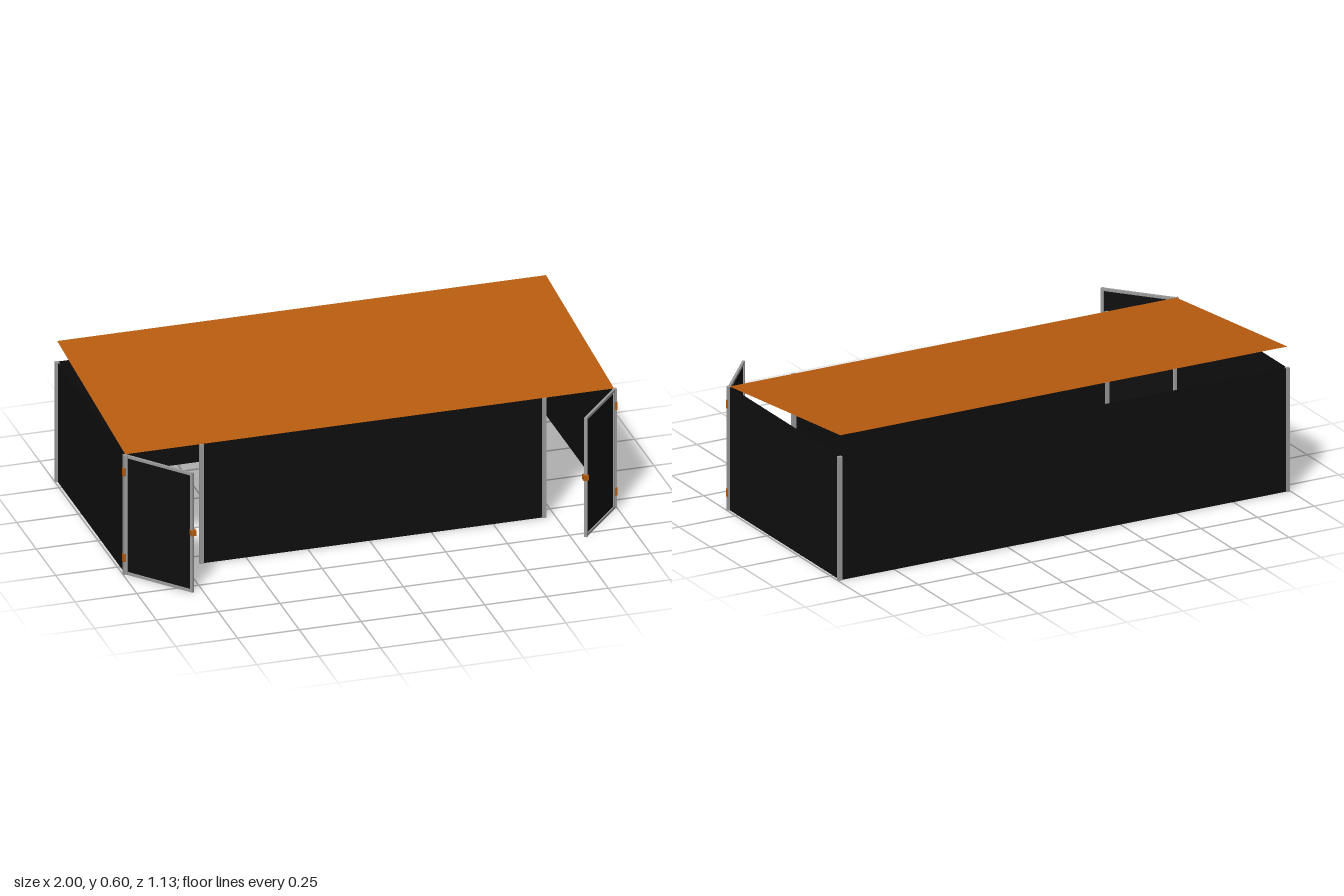
import * as THREE from 'three';

export function createModel() {
  const model = new THREE.Group();
  const mat = (name, color, side = THREE.FrontSide) => {
    const m = new THREE.MeshStandardMaterial({ color, side });
    m.name = name;
    return m;
  };
  const steel = mat('grey steel', 0x9c9c9c);
  const sheet = mat('black sheet', 0x0f0f0f, THREE.DoubleSide);
  const orange = mat('burnt orange', 0xb85c10, THREE.DoubleSide);

  const add = (parent, name, geometry, material, x, y, z) => {
    const mesh = new THREE.Mesh(geometry, material);
    mesh.name = name;
    mesh.position.set(x, y, z);
    parent.add(mesh);
    return mesh;
  };
  const box = (parent, name, material, w, h, d, x, y, z) =>
    add(parent, name, new THREE.BoxGeometry(w, h, d), material, x, y, z);

  const H = 0.51, X = 0.989, BACK = -0.56, FRONT = 0.316;
  const doorLeft = 0.705, doorRight = -0.68;
  const depth = FRONT - BACK, midZ = (FRONT + BACK) / 2;

  // Sheet walls, with an open doorway at each end of the front
  const wall = (name, width, x, z, turn = 0) => {
    add(model, name, new THREE.PlaneGeometry(width, H), sheet, x, H / 2, z).rotation.y = turn;
  };
  wall('backWall', 2 * X, 0, BACK);
  wall('frontWall', doorLeft - doorRight, (doorLeft + doorRight) / 2, FRONT);
  wall('leftWall', depth, X, midZ, Math.PI / 2);
  wall('rightWall', depth, -X, midZ, -Math.PI / 2);

  // Corner posts and door posts
  for (const s of [-1, 1]) {
    box(model, 'backPost', steel, 0.016, H, 0.016, s * 0.99, H / 2, -0.558);
    box(model, 'frontPost', steel, 0.016, H, 0.014, s * 0.99, H / 2, 0.318);
  }
  for (const x of [doorLeft, doorRight])
    box(model, 'doorPost', steel, 0.016, H, 0.014, x, H / 2, 0.315);

  // Roof sheet rising towards the back
  const rise = 0.088;
  const roof = add(model, 'roof', new THREE.PlaneGeometry(2 * X, Math.hypot(depth, rise)),
    orange, 0, H + rise / 2, midZ);
  roof.rotation.x = -Math.PI / 2 + Math.atan2(rise, depth);

  // Framed doors standing open, local x running from hinge to free edge
  const door = (name, side, endX, endZ) => {
    const hx = side * 0.989, hz = 0.318;
    const L = Math.hypot(endX - hx, endZ - hz);
    const g = new THREE.Group();
    g.name = name;
    g.position.set(hx, 0, hz);
    g.rotation.y = Math.atan2(hz - endZ, endX - hx);
    model.add(g);
    add(g, 'doorPanel', new THREE.PlaneGeometry(L, H - 0.01), sheet, L / 2, H / 2, 0);
    for (const y of [0.006, H - 0.006])
      box(g, 'doorRail', steel, L, 0.011, 0.01, L / 2, y, 0);
    for (const x of [0.006, L - 0.005])
      box(g, 'doorStile', steel, 0.011, H, 0.011, x, H / 2, 0);

    // Latch on the free edge, hinges on the corner post
    box(model, 'latch', orange, 0.021, 0.022, 0.021, endX, 0.256, endZ + 0.001);
    for (const y of [0.072, 0.438])
      box(model, 'hinge', orange, 0.013, 0.034, 0.014, side * 0.9935, y, 0.3185);
  };
  door('leftDoor', 1, 0.805, 0.534);
  door('rightDoor', -1, -0.79, 0.555);

  return model;
}
